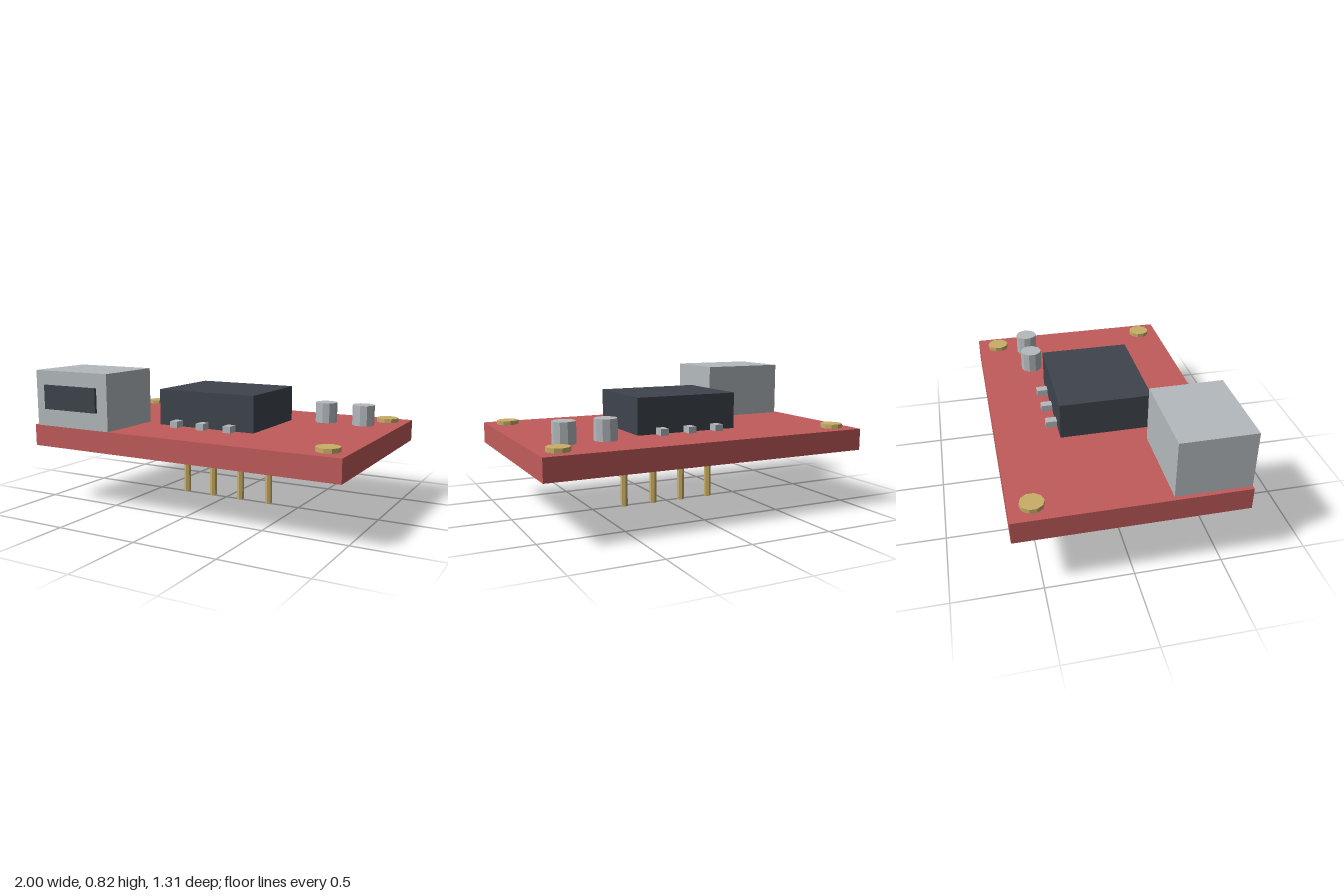
import * as THREE from 'three';

const material = (name, color) => {
  const m = new THREE.MeshStandardMaterial({ color });
  m.name = name;
  return m;
};

export function createModel() {
  const red = material('boardRed', 0xc25b5b);
  const dark = material('chipDark', 0x3f444d);
  const silver = material('silver', 0xb4babe);
  const gold = material('gold', 0xc8ae66);
  for (const m of [red, dark, silver, gold]) m.flatShading = true;

  const model = new THREE.Group();
  model.name = 'circuitBoard';

  const add = (name, geometry, mat, x, y, z) => {
    const mesh = new THREE.Mesh(geometry, mat);
    mesh.name = name;
    mesh.position.set(x, y, z);
    model.add(mesh);
  };
  // Box given by its extents on each axis
  const box = (name, mat, [x0, x1], [y0, y1], [z0, z1]) =>
    add(name, new THREE.BoxGeometry(x1 - x0, y1 - y0, z1 - z0), mat,
      (x0 + x1) / 2, (y0 + y1) / 2, (z0 + z1) / 2);
  // Upright faceted cylinder between two heights
  const post = (name, mat, r, sides, x, z, y0, y1) =>
    add(name, new THREE.CylinderGeometry(r, r, y1 - y0, sides), mat, x, (y0 + y1) / 2, z);

  const bottom = 0.355, top = 0.486;
  const midZ = -0.009;

  box('board', red, [-1, 1], [bottom, top], [-0.656, 0.639]);

  // Connector with its dark opening on the front edge
  box('connectorShell', silver, [-0.973, -0.436], [top, 0.825], [0.207, 0.639]);
  box('connectorOpening', dark, [-0.9, -0.512], [0.592, 0.739], [0.63, 0.656]);

  // Chip with three legs on each long side
  box('chip', dark, [-0.324, 0.322], [top, 0.705], [-0.282, 0.26]);
  for (const x of [-0.183, -0.002, 0.18]) {
    box('chipLegFront', silver, [x - 0.025, x + 0.025], [top, 0.525], [0.25, 0.328]);
    box('chipLegBack', silver, [x - 0.025, x + 0.025], [top, 0.525], [-0.348, -0.27]);
  }

  // Capacitors
  for (const x of [0.539, 0.781]) post('capacitor', silver, 0.067, 10, x, -0.333, top, 0.611);

  // Gold mounting pads at the free corners
  for (const [x, z] of [[-0.881, -0.527], [0.877, -0.527], [0.877, 0.509]]) {
    post('mountingPad', gold, 0.067, 10, x, z, top, 0.511);
  }

  // Header pins standing under the board
  for (const x of [-0.3, -0.102, 0.096, 0.294]) {
    post('headerPin', gold, 0.022, 6, x, midZ, 0, bottom);
  }

  return model;
}
